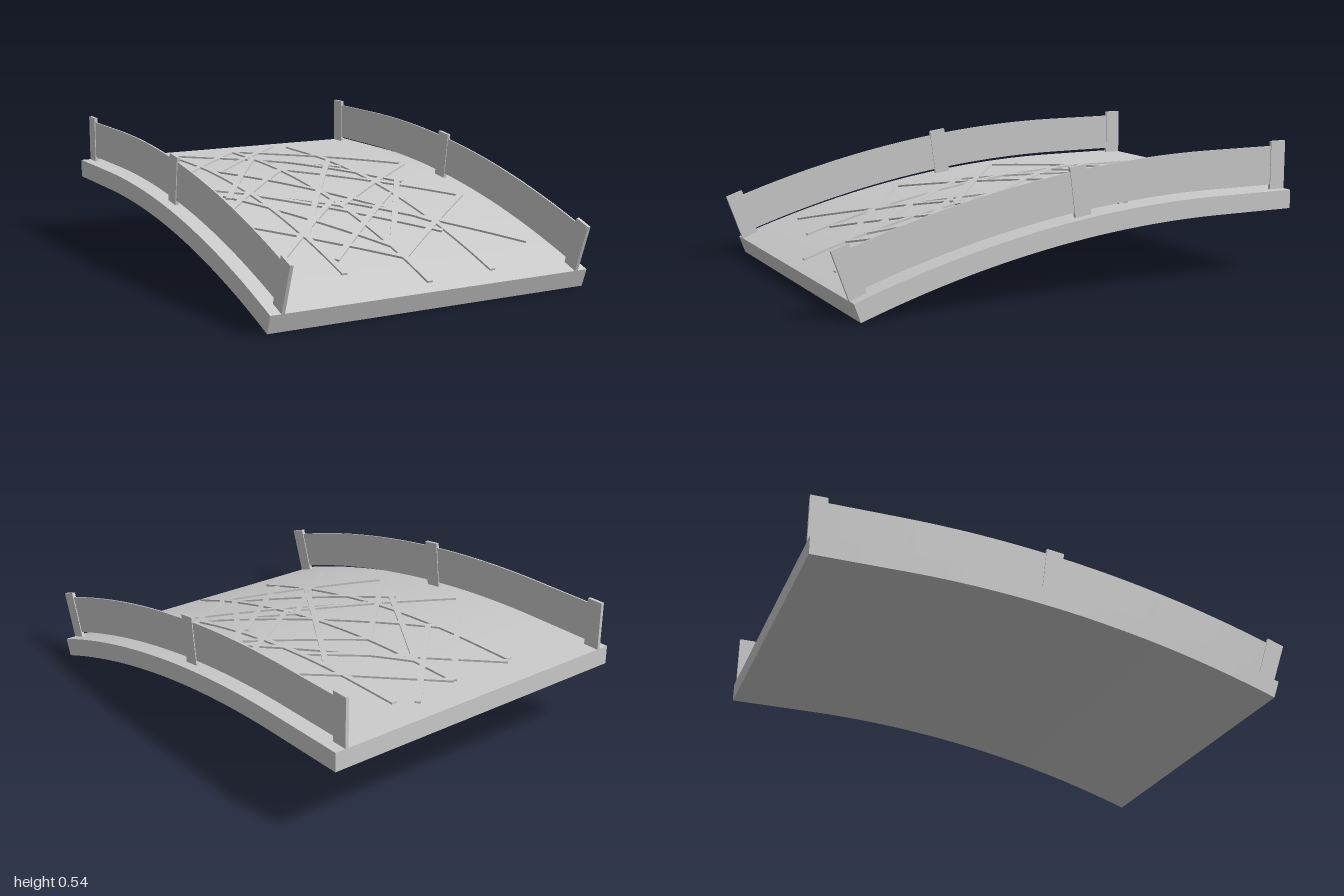
import * as THREE from 'three';

const R = 4.7, FLAT = 0.36, Y0 = 0.35;   // arc radius, level stretch at the back, top height
const SWEEP = 0.34;                      // arc angle in radians
const LENGTH = FLAT + R * SWEEP;
const material = new THREE.MeshStandardMaterial({ color: 0xcccccc });

// distance along the deck for a given plan z
const along = z => (z < FLAT - 1 ? z + 1 : FLAT + R * Math.asin((z + 1 - FLAT) / R));

// bends (x, height above deck, distance along deck) onto the arched deck
function bend(geometry) {
  const p = geometry.attributes.position;
  for (let i = 0; i < p.count; i++) {
    const h = p.getY(i), s = p.getZ(i);
    if (s <= FLAT) p.setXYZ(i, p.getX(i), Y0 + h, s - 1);
    else {
      const a = (s - FLAT) / R;
      p.setXYZ(i, p.getX(i), Y0 - R + (R + h) * Math.cos(a), FLAT - 1 + (R + h) * Math.sin(a));
    }
  }
  geometry.computeVertexNormals();
  return geometry;
}

function add(group, name, geometry) {
  const mesh = new THREE.Mesh(bend(geometry), material);
  mesh.name = name;
  group.add(mesh);
}

// box running from s0 to s1 along the deck, between two heights
function run(x, width, h0, h1, s0, s1, segments) {
  return new THREE.BoxGeometry(width, h1 - h0, s1 - s0, 1, 1, segments)
    .translate(x, (h0 + h1) / 2, (s0 + s1) / 2);
}

// flat strip between two plan points
function strip(x0, z0, x1, z1) {
  const s0 = along(z0), s1 = along(z1);
  const len = Math.hypot(x1 - x0, s1 - s0);
  return new THREE.BoxGeometry(0.024, 0.016, len, 1, 1, Math.ceil(len / 0.06))
    .rotateY(Math.atan2(x1 - x0, s1 - s0))
    .translate((x0 + x1) / 2, 0, (s0 + s1) / 2);
}

export function createModel() {
  const model = new THREE.Group();
  model.name = 'archedDeck';

  // curved slab
  add(model, 'deck', run(0, 1.4, -0.077, 0, 0, LENGTH, 40));

  // side panels and their posts
  for (const side of [-1, 1]) {
    const rail = new THREE.Group();
    rail.name = side > 0 ? 'leftRailing' : 'rightRailing';
    model.add(rail);
    const x = side * 0.649;
    add(rail, 'panel', run(x, 0.007, 0.02, 0.18, 0.03, LENGTH - 0.03, 40));
    for (const s of [0.035, LENGTH / 2 - 0.015, LENGTH - 0.035])
      add(rail, 'post', run(x, 0.014, 0, 0.2, s - 0.035, s + 0.035, 1));
  }

  // raised lattice of strips on the deck
  const lattice = new THREE.Group();
  lattice.name = 'lattice';
  model.add(lattice);

  const single = [
    [0, -0.85, 0, 0.87], [-0.3, -0.85, -0.3, 0.75], [0.3, -0.85, 0.3, 0.85],
    [-0.28, -0.86, 0.28, -0.3], [0.23, -0.9, -0.28, -0.4],
    [-0.28, 0.65, 0.28, 0.12], [0.28, 0.53, -0.28, 0],
  ];
  for (const c of single) add(lattice, 'strip', strip(...c));

  // mirrored diagonals
  const paired = [
    [0, -0.85, 0.58, -0.27], [0, -0.35, 0.58, 0.23],
    [0.58, -0.25, 0, 0.2], [0.58, 0.22, 0, 0.69], [0.58, 0.69, 0, 0.13],
    [0, -0.63, 0.42, 0], [0.42, -0.04, 0, 0.6], [-0.3, -0.45, 0.3, 0.45],
  ];
  for (const [x0, z0, x1, z1] of paired)
    for (const m of [-1, 1]) add(lattice, 'diagonalStrip', strip(m * x0, z0, m * x1, z1));

  return model;
}
